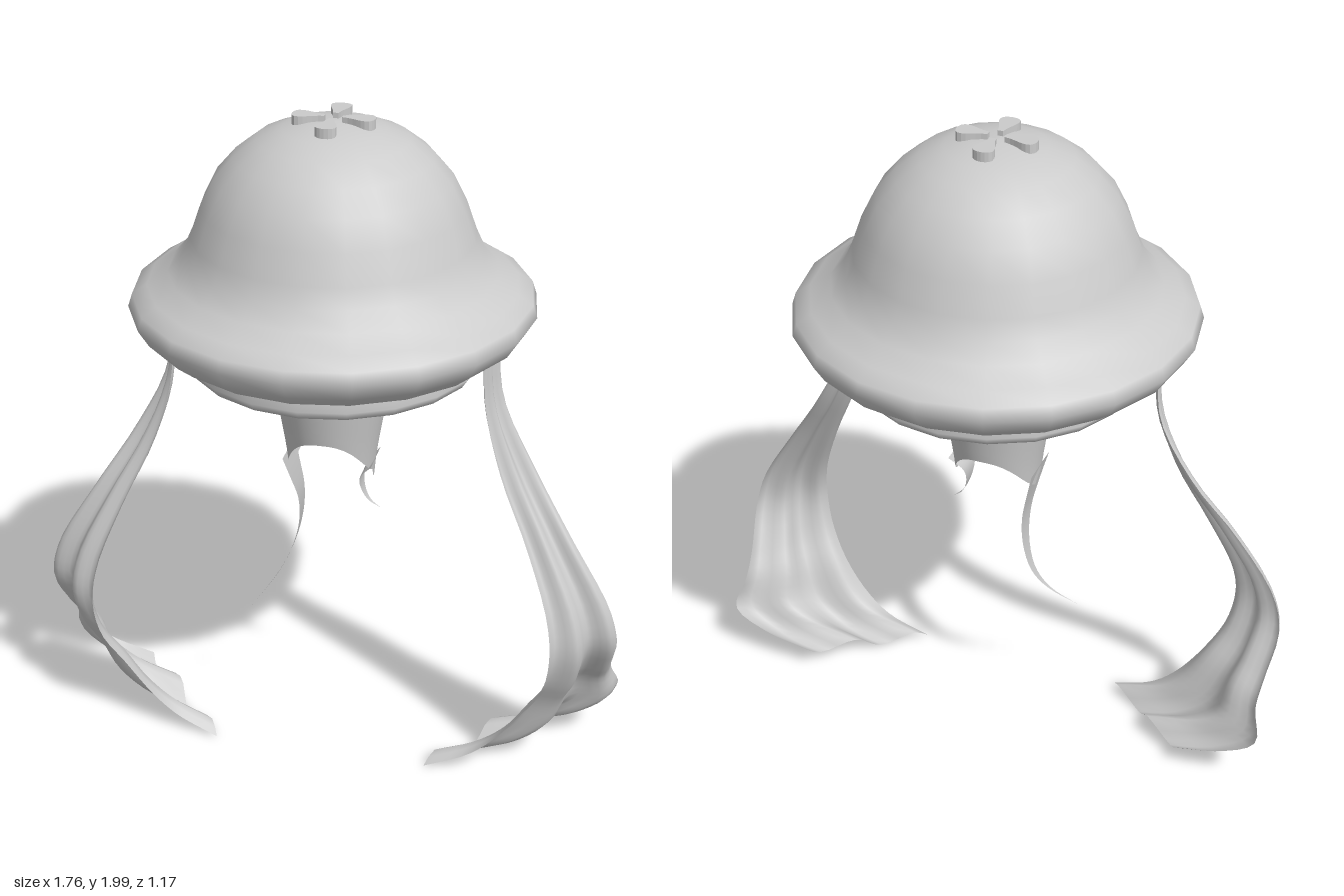
import * as THREE from 'three';

const material = new THREE.MeshStandardMaterial({ color: 0xcccccc, side: THREE.DoubleSide });

function addMesh(parent, name, geometry) {
  const mesh = new THREE.Mesh(geometry, material);
  mesh.name = name;
  parent.add(mesh);
  return mesh;
}

function lathe(points) {
  return new THREE.LatheGeometry(points.map(([r, y]) => new THREE.Vector2(r, y)), 20);
}

// Smooth sheet from a function (u, v, target), u across and v along
function sheet(fn, cols, rows) {
  const geo = new THREE.PlaneGeometry(1, 1, cols, rows);
  const pos = geo.attributes.position;
  const p = new THREE.Vector3();
  for (let i = 0; i < pos.count; i++) {
    fn(pos.getX(i) + 0.5, 0.5 - pos.getY(i), p);
    pos.setXYZ(i, p.x, p.y, p.z);
  }
  geo.computeVertexNormals();
  return geo;
}

const curve = (pts) => new THREE.CatmullRomCurve3(pts.map((p) => new THREE.Vector3(...p)));

// Rippled ribbon hanging between a front edge and a back edge
function ribbonGeometry() {
  const front = curve([
    [0.455, 1.38, 0.11], [0.465, 1.2, 0.1], [0.52, 1.0, 0.12], [0.61, 0.8, 0.165],
    [0.685, 0.6, 0.22], [0.7, 0.48, 0.24], [0.68, 0.36, 0.23], [0.62, 0.25, 0.2],
    [0.54, 0.14, 0.19], [0.46, 0.07, 0.19], [0.33, 0.015, 0.2],
  ]);
  const back = curve([
    [0.48, 1.38, 0], [0.5, 1.2, 0], [0.6, 1.0, 0.02], [0.73, 0.8, 0.075],
    [0.85, 0.6, 0.095], [0.88, 0.48, 0.08], [0.865, 0.36, 0], [0.86, 0.29, -0.06],
    [0.88, 0.2, -0.105], [0.78, 0.13, -0.105], [0.63, 0.09, -0.1],
  ]);
  const across = new THREE.Vector3();
  const normal = new THREE.Vector3();
  return sheet((u, v, p) => {
    const a = front.getPoint(v);
    const b = back.getPoint(v);
    across.subVectors(b, a).normalize();
    normal.crossVectors(across, front.getTangent(v)).normalize();
    const ripple = (0.006 + 0.022 * v) * Math.sin(u * Math.PI * 4) * Math.sin(Math.PI * Math.min(1, u * 3 + 0.5) / 2);
    p.lerpVectors(a, b, u).addScaledVector(normal, ripple);
  }, 16, 36);
}

// Thin strand tapering to a point, its width lying along z
function tendrilGeometry(points, width) {
  const path = curve(points);
  return sheet((u, v, p) => {
    const half = width * (Math.pow(1 - v, 1.6) * 0.9 + 0.1 * (1 - v));
    p.copy(path.getPoint(v));
    p.z += (0.5 - u) * 2 * half;
  }, 4, 24);
}

export function createModel() {
  const model = new THREE.Group();
  model.name = 'jellyfish';

  // Domed bell with flared brim
  addMesh(model, 'bell', lathe([
    [0.42, 1.43], [0.45, 1.37], [0.475, 1.352], [0.505, 1.365], [0.555, 1.405], [0.585, 1.455],
    [0.573, 1.492], [0.53, 1.52], [0.47, 1.558], [0.43, 1.605], [0.405, 1.66],
    [0.375, 1.745], [0.335, 1.825], [0.28, 1.888], [0.215, 1.938], [0.145, 1.966],
    [0.07, 1.982], [0, 1.986],
  ]));

  // Inner disc with hollow underside
  addMesh(model, 'innerDisc', lathe([
    [0, 1.4], [0.16, 1.385], [0.28, 1.35], [0.36, 1.3], [0.395, 1.28], [0.42, 1.28],
    [0.435, 1.305], [0.42, 1.35], [0.41, 1.43],
  ]));

  // Four flat petals on the crown
  const petal = new THREE.Shape();
  petal.moveTo(-0.008, 0.025);
  petal.bezierCurveTo(-0.012, 0.06, -0.035, 0.08, -0.028, 0.105);
  petal.bezierCurveTo(-0.018, 0.122, 0.018, 0.122, 0.028, 0.105);
  petal.bezierCurveTo(0.035, 0.08, 0.012, 0.06, 0.008, 0.025);
  const petalGeo = new THREE.ExtrudeGeometry(petal, { depth: 0.04, bevelEnabled: false, curveSegments: 6 });
  petalGeo.rotateX(-Math.PI / 2);
  for (let i = 0; i < 4; i++) {
    const mesh = addMesh(model, 'petal', petalGeo);
    mesh.position.y = 1.96;
    mesh.rotation.y = (i * Math.PI) / 2;
  }

  // Mouth tube, its hem arched at front and back
  addMesh(model, 'mouthTube', sheet((u, v, p) => {
    const a = u * Math.PI * 2;
    const hem = (Math.sin(a) > 0 ? 1.055 : 1.025) - 0.13 * Math.pow(Math.abs(Math.cos(a)), 2.5);
    const y = THREE.MathUtils.lerp(1.39, hem, v);
    const r = 0.125 + 0.06 * THREE.MathUtils.smoothstep(y, 0.85, 1.36);
    p.set(-0.005 + Math.cos(a) * r, y, Math.sin(a) * r);
  }, 40, 12));

  // Mouth tendrils, one long and one short
  addMesh(model, 'longTendril', tendrilGeometry([
    [-0.138, 0.96, 0], [-0.12, 0.88, -0.01], [-0.108, 0.8, -0.03], [-0.112, 0.71, -0.045],
    [-0.135, 0.61, -0.045], [-0.175, 0.52, -0.01], [-0.25, 0.42, 0.06],
  ], 0.075));
  addMesh(model, 'shortTendril', tendrilGeometry([
    [0.128, 0.96, 0], [0.09, 0.91, 0], [0.088, 0.86, -0.005], [0.108, 0.81, -0.01], [0.145, 0.78, -0.015],
  ], 0.07));

  // Pair of long side ribbons
  const ribbon = ribbonGeometry();
  addMesh(model, 'leftRibbon', ribbon);
  addMesh(model, 'rightRibbon', ribbon).scale.x = -1;

  return model;
}
